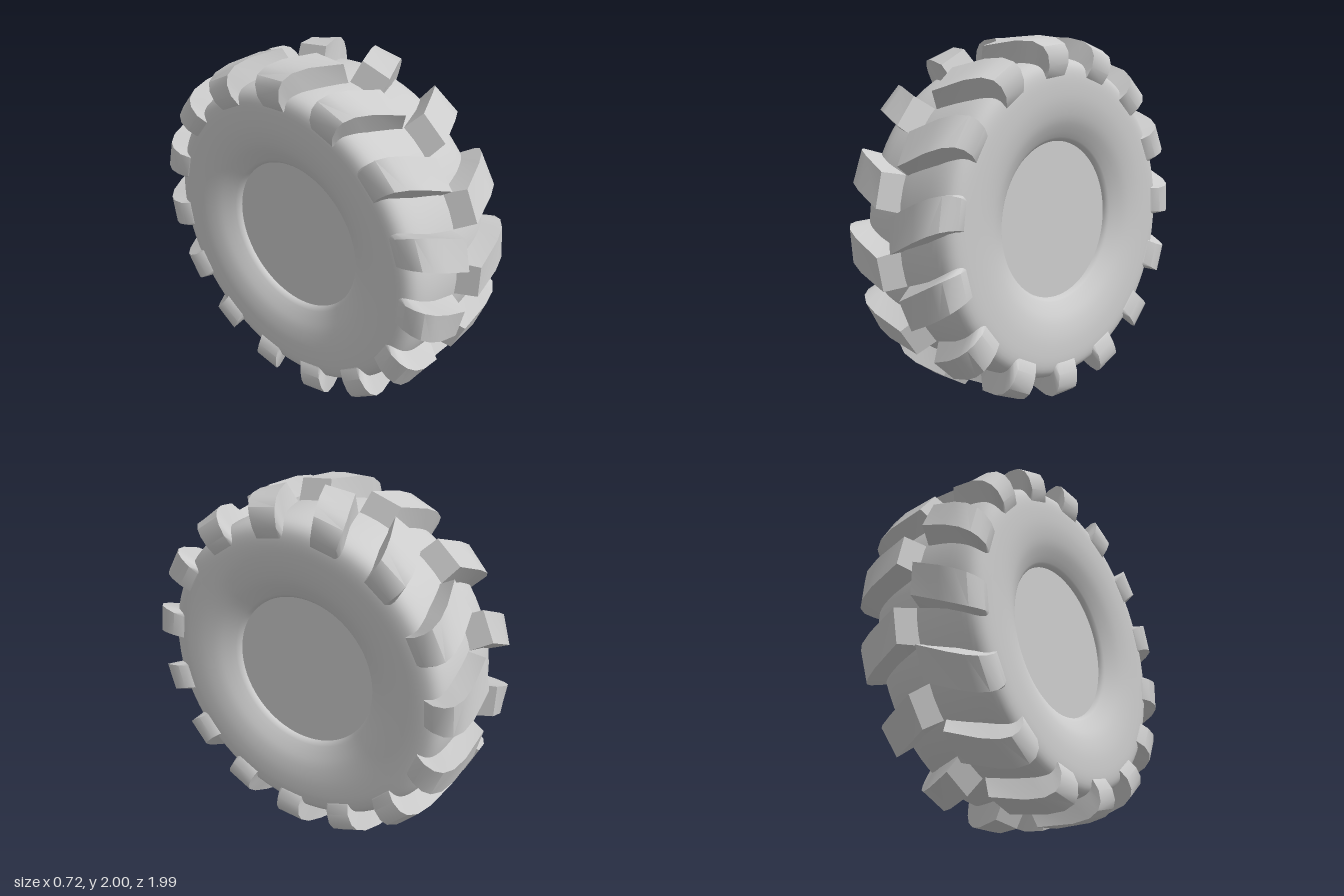
import * as THREE from 'three';
import { toCreasedNormals } from 'three/addons/utils/BufferGeometryUtils.js';

const LUGS = 15;
const RAD = Math.PI / 180;

// Lug cross-sections from the centre line outwards: top x, top radius, base x, base radius
const LUG_SECTIONS = [
  [0.055, 1.0, 0.0, 0.87],
  [0.22, 0.995, 0.2, 0.86],
  [0.3, 0.977, 0.27, 0.85],
  [0.345, 0.943, 0.3, 0.83],
  [0.362, 0.9, 0.315, 0.81],
  [0.36, 0.84, 0.32, 0.79],
  [0.338, 0.785, 0.32, 0.77],
];

// One swept tread lug; side is +1 for the left half, -1 for the right half
function lugGeometry(side) {
  const positions = [];
  const index = [];
  const put = (x, r, deg) =>
    positions.push(side * x, r * Math.sin(deg * RAD), r * Math.cos(deg * RAD));
  const tri = (a, b, c) => (side > 0 ? index.push(a, b, c) : index.push(a, c, b));
  const quad = (a, b, c, d) => { tri(a, b, c); tri(a, c, d); };

  for (const [tx, tr, bx, br] of LUG_SECTIONS) {
    const sweep = 8 * (tx - 0.055) / 0.305;
    put(bx, br, sweep - 6.3);
    put(tx, tr, sweep - 5.1);
    put(tx, tr, sweep + 5.1);
    put(bx, br, sweep + 6.3);
  }
  const last = LUG_SECTIONS.length - 1;
  for (let i = 0; i < last; i++) {
    for (let k = 0; k < 4; k++) {
      const n = (k + 1) % 4;
      quad(i * 4 + k, i * 4 + 4 + k, i * 4 + 4 + n, i * 4 + n);
    }
  }
  quad(0, 1, 2, 3);
  quad(last * 4 + 3, last * 4 + 2, last * 4 + 1, last * 4);

  const geometry = new THREE.BufferGeometry();
  geometry.setAttribute('position', new THREE.Float32BufferAttribute(positions, 3));
  geometry.setIndex(index);
  return toCreasedNormals(geometry, 32 * RAD);
}

// Tyre body: half profile as (radius, x), mirrored and turned about the axle
function carcassGeometry() {
  const bead = [[0.43, 0.2], [0.435, 0.235], [0.447, 0.25]];
  const wall = [
    [0.447, 0.25], [0.485, 0.275], [0.55, 0.308], [0.63, 0.328], [0.71, 0.335],
    [0.79, 0.333], [0.84, 0.315], [0.87, 0.27], [0.885, 0.18], [0.89, 0],
  ].map(([r, x]) => new THREE.Vector2(r, x));
  const half = [
    ...bead.slice(0, 2).map(([r, x]) => new THREE.Vector2(r, x)),
    ...new THREE.SplineCurve(wall).getPoints(27),
  ];
  const mirrored = half.map((p) => new THREE.Vector2(p.x, -p.y));
  const profile = [...mirrored, ...half.slice(0, -1).reverse()];
  return new THREE.LatheGeometry(profile, 72).rotateZ(-Math.PI / 2);
}

export function createModel() {
  const model = new THREE.Group();
  model.name = 'tractorTyre';
  const rubber = new THREE.MeshStandardMaterial({ color: 0xcccccc });
  rubber.name = 'light grey';

  const wheel = new THREE.Group();
  wheel.name = 'wheel';
  wheel.position.y = 1;
  model.add(wheel);

  const add = (name, geometry, parent = wheel) => {
    const mesh = new THREE.Mesh(geometry, rubber);
    mesh.name = name;
    parent.add(mesh);
    return mesh;
  };

  add('carcass', carcassGeometry());

  // Flat plate closing the middle on both sides
  add('hubPlate', new THREE.CylinderGeometry(0.434, 0.434, 0.45, 72).rotateZ(Math.PI / 2));

  // Two staggered rows of lugs forming the chevron tread
  for (const [side, name, phase] of [[1, 'left', 0.7], [-1, 'right', 12.7]]) {
    const row = new THREE.Group();
    row.name = name + 'Lugs';
    wheel.add(row);
    const geometry = lugGeometry(side);
    for (let i = 0; i < LUGS; i++) {
      add(name + 'Lug', geometry, row).rotation.x = -(phase + (i * 360) / LUGS) * RAD;
    }
  }
  return model;
}
